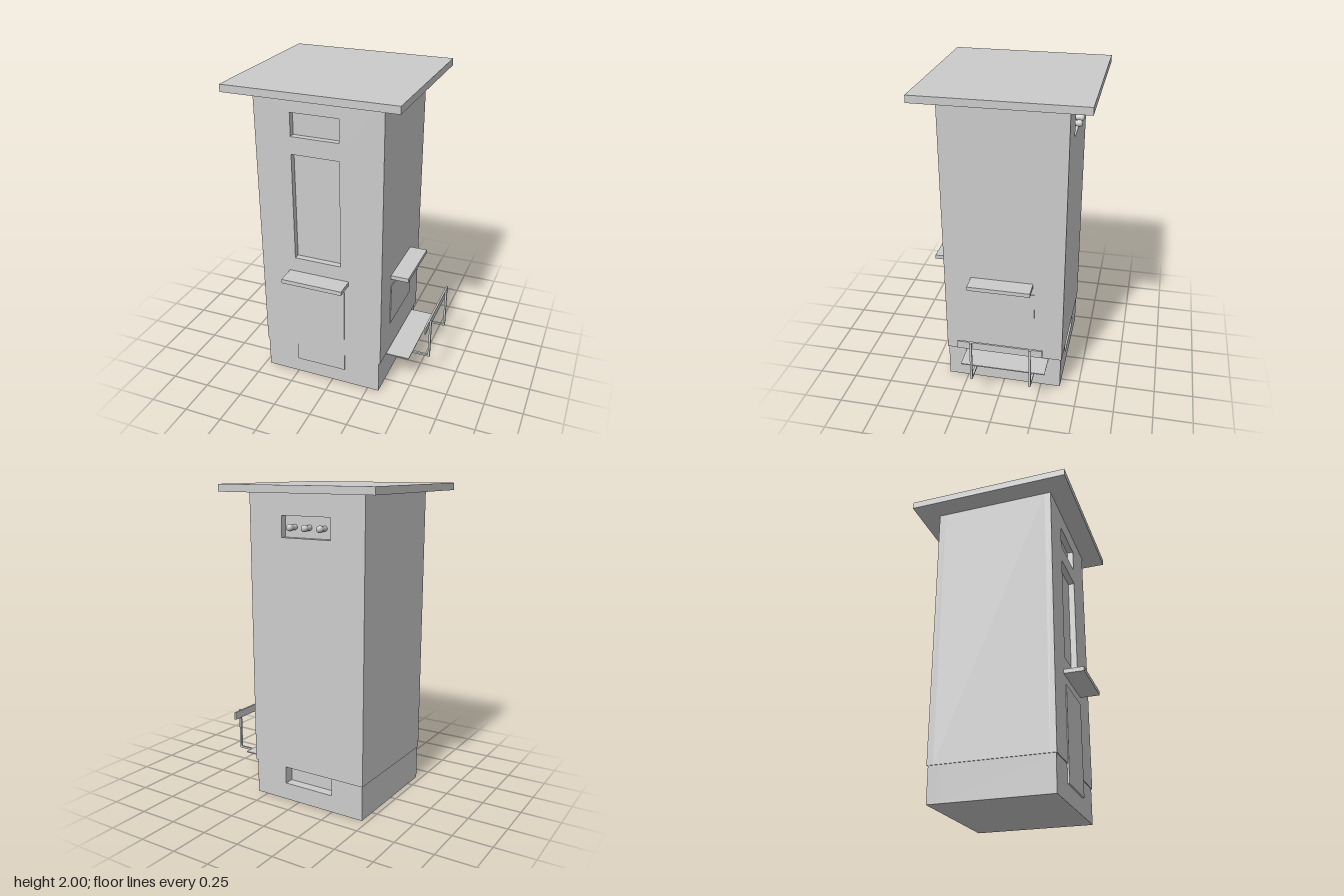
import * as THREE from 'three';

const material = new THREE.MeshStandardMaterial({ color: 0xcccccc });

function add(parent, name, geometry) {
  const mesh = new THREE.Mesh(geometry, material);
  mesh.name = name;
  parent.add(mesh);
  return mesh;
}

// Box given by its [min, max] range on each axis
function box(parent, name, [x0, x1], [y0, y1], [z0, z1]) {
  const mesh = add(parent, name, new THREE.BoxGeometry(x1 - x0, y1 - y0, z1 - z0));
  mesh.position.set((x0 + x1) / 2, (y0 + y1) / 2, (z0 + z1) / 2);
  return mesh;
}

const rectPoints = ([x0, x1], [y0, y1]) => [
  new THREE.Vector2(x0, y0), new THREE.Vector2(x1, y0),
  new THREE.Vector2(x1, y1), new THREE.Vector2(x0, y1)];

// Upright wall slab with rectangular openings
function wall(parent, name, xr, yr, [z0, z1], openings) {
  const shape = new THREE.Shape(rectPoints(xr, yr));
  for (const [hx, hy] of openings) shape.holes.push(new THREE.Path(rectPoints(hx, hy)));
  const geometry = new THREE.ExtrudeGeometry(shape, { depth: z1 - z0, bevelEnabled: false });
  add(parent, name, geometry).position.z = z0;
}

export function createModel() {
  const model = new THREE.Group();
  model.name = 'booth';

  // Main cabinet: solid core with recessed front and back walls
  const bodyX = [-0.47, 0.335], bodyY = [0.225, 1.955];
  const cabinet = new THREE.Group();
  cabinet.name = 'cabinet';
  model.add(cabinet);
  box(cabinet, 'cabinetCore', bodyX, bodyY, [-0.345, 0.345]);
  wall(cabinet, 'frontWall', bodyX, bodyY, [0.345, 0.385], [
    [[-0.24, 0.065], [0.89, 1.585]],
    [[-0.24, 0.065], [1.695, 1.84]]]);
  wall(cabinet, 'backWall', bodyX, bodyY, [-0.385, -0.345], [
    [[-0.245, 0.1], [1.69, 1.82]]]);

  box(model, 'roof', [-0.605, 0.465], [1.955, 2], [-0.52, 0.515]);

  // Plinth with a notch open at its top in the back
  const plinth = new THREE.Group();
  plinth.name = 'plinth';
  model.add(plinth);
  box(plinth, 'plinthCore', [-0.465, 0.325], [0, 0.225], [-0.315, 0.38]);
  const notched = new THREE.Shape([
    [-0.465, 0], [0.325, 0], [0.325, 0.225], [0.1, 0.225],
    [0.1, 0.11], [-0.245, 0.11], [-0.245, 0.225], [-0.465, 0.225],
  ].map(([x, y]) => new THREE.Vector2(x, y)));
  add(plinth, 'plinthBack', new THREE.ExtrudeGeometry(notched, { depth: 0.063, bevelEnabled: false }))
    .position.z = -0.378;

  // Access doors and the small shelves above them
  box(model, 'frontDoor', [-0.245, 0.09], [0.11, 0.71], [0.375, 0.391]);
  box(model, 'frontShelf', [-0.28, 0.12], [0.768, 0.795], [0.38, 0.51]);
  box(model, 'sideDoor', [0.325, 0.34], [0.43, 0.71], [-0.2, 0.21]);
  box(model, 'sideShelf', [0.33, 0.45], [0.764, 0.79], [-0.19, 0.21]);

  // Side bench: plate on two L brackets that carry a rail
  const bench = new THREE.Group();
  bench.name = 'sideBench';
  model.add(bench);
  box(bench, 'benchPlate', [0.325, 0.486], [0.21, 0.217], [-0.297, 0.255]);
  for (const z of [0.154, -0.221]) {
    box(bench, 'bracketArm', [0.325, 0.6], [0.198, 0.21], [z - 0.007, z + 0.007]);
    box(bench, 'bracketPost', [0.587, 0.6], [0.21, 0.475], [z - 0.007, z + 0.007]);
  }
  box(bench, 'benchRail', [0.575, 0.587], [0.425, 0.475], [-0.295, 0.24]);

  // Three knobs in the back recess
  const knobProfile = [[0.017, 0], [0.017, 0.042], [0.021, 0.046], [0.021, 0.06],
    [0.016, 0.07], [0.008, 0.075], [0, 0.075]].map(([r, h]) => new THREE.Vector2(r, h));
  for (const x of [-0.18, -0.075, 0.03]) {
    const knob = add(model, 'knob', new THREE.LatheGeometry(knobProfile, 16));
    knob.rotation.x = -Math.PI / 2;
    knob.position.set(x, 1.752, -0.345);
  }
  return model;
}
